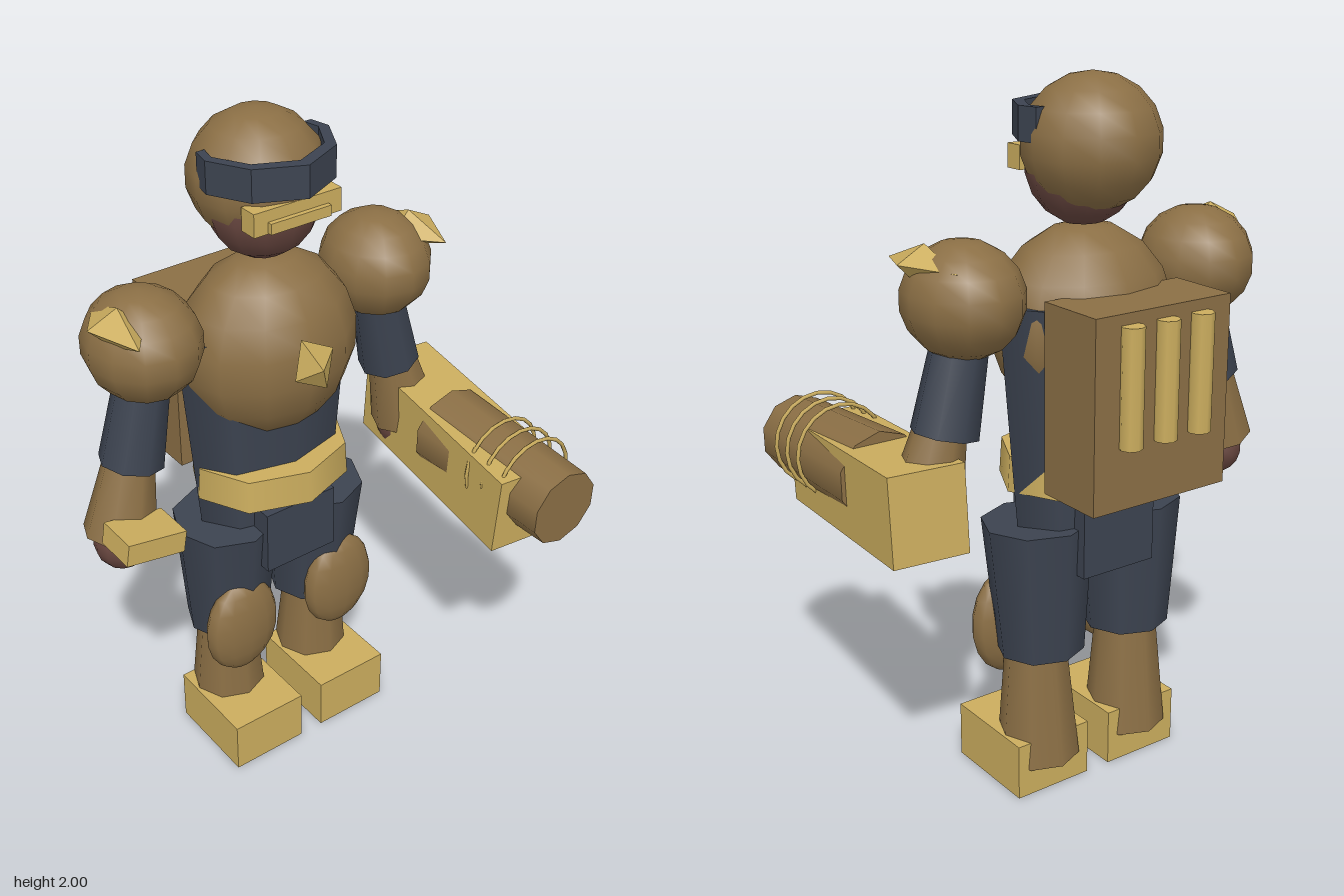
import * as THREE from 'three';

const material = (name, color) => {
  const m = new THREE.MeshStandardMaterial({ color });
  m.name = name;
  return m;
};

export function createModel() {
  const brown = material('bronze armour', 0x8b6f45);
  const gold = material('gold trim', 0xcbad5e);
  const dark = material('dark cloth', 0x3c4350);
  const skin = material('skin', 0x694740);
  const goldFlat = gold;

  // The figure's own middle lies slightly off x = 0 because of the arm cannon
  const root = new THREE.Group();
  root.name = 'armouredFigure';
  const figure = new THREE.Group();
  figure.name = 'figure';
  figure.position.x = -0.025;
  root.add(figure);

  const add = (name, geometry, mat, pos = [0, 0, 0], rot = [0, 0, 0]) => {
    const mesh = new THREE.Mesh(geometry, mat);
    mesh.name = name;
    mesh.position.set(...pos);
    mesh.rotation.set(...rot);
    figure.add(mesh);
    return mesh;
  };
  const box = (name, mat, size, pos, rot) => add(name, new THREE.BoxGeometry(...size), mat, pos, rot);
  const ball = (name, mat, radii, pos) =>
    add(name, new THREE.SphereGeometry(1, 12, 9).scale(...radii), mat, pos);
  const gem = (name, radii, pos, rot) =>
    add(name, new THREE.OctahedronGeometry(1).scale(...radii), goldFlat, pos, rot);
  // Tapered limb running from point a (radius ra) to point b (radius rb)
  const limb = (name, mat, a, b, ra, rb, sides = 8) => {
    const from = new THREE.Vector3(...a), to = new THREE.Vector3(...b);
    const dir = to.clone().sub(from);
    const mesh = add(name, new THREE.CylinderGeometry(rb, ra, dir.length(), sides), mat,
      from.clone().add(to).multiplyScalar(0.5).toArray());
    mesh.quaternion.setFromUnitVectors(new THREE.Vector3(0, 1, 0), dir.normalize());
    return mesh;
  };

  // Torso, chest plate, belt and pelvis
  add('torso', new THREE.CylinderGeometry(0.285, 0.23, 0.62, 8).scale(1, 1, 0.61), dark, [0, 1.11, -0.17]);
  ball('chestPlate', brown, [0.268, 0.272, 0.215], [0, 1.34, -0.15]);
  gem('chestGem', [0.07, 0.1, 0.042], [0, 1.36, 0.066], [0, 0, 0.45]);
  add('belt', new THREE.CylinderGeometry(0.24, 0.247, 0.1, 8).scale(1, 1, 0.83), gold, [0, 0.95, -0.15]);
  box('pelvis', dark, [0.24, 0.2, 0.33], [0, 0.77, -0.16]);

  // Head, helmet, visor and mouth guard
  ball('face', skin, [0.165, 0.17, 0.145], [0, 1.77, -0.155]);
  ball('helmet', brown, [0.19, 0.18, 0.185], [0, 1.82, -0.185]);
  const half = [[0.18, -0.19], [0.193, -0.13], [0.132, -0.017]];
  const outer = [...half, [0, 0.045], ...half.map(([x, z]) => [-x, z]).reverse()];
  const inner = outer.map(([x, z]) => [x * 0.86, -0.19 + (z + 0.19) * 0.84]).reverse();
  const band = new THREE.Shape([...outer, ...inner].map(([x, z]) => new THREE.Vector2(x, z)));
  const bandGeo = new THREE.ExtrudeGeometry(band, { depth: 0.09, bevelEnabled: false });
  add('visorBand', bandGeo, dark, [0, 1.92, 0], [Math.PI / 2, 0, 0]);
  box('mouthGuard', gold, [0.275, 0.065, 0.055], [0, 1.775, -0.03]);
  box('mouthGuardRidge', gold, [0.19, 0.03, 0.03], [0, 1.76, -0.003]);

  // Backpack with three pipes
  box('backpack', brown, [0.44, 0.52, 0.21], [0, 1.19, -0.385]);
  for (const x of [-0.114, 0, 0.114])
    add('backpackPipe', new THREE.CylinderGeometry(0.032, 0.032, 0.32, 8), gold, [x, 1.26, -0.503]);

  // Mirrored limbs
  for (const s of [-1, 1]) {
    const side = s > 0 ? 'left' : 'right';
    box(side + 'Boot', gold, [0.243, 0.165, 0.3], [s * 0.16, 0.0825, -0.095]);
    limb(side + 'Shin', brown, [s * 0.16, 0.08, -0.168], [s * 0.163, 0.46, -0.16], 0.12, 0.085);
    limb(side + 'Thigh', dark, [s * 0.153, 0.415, -0.17], [s * 0.157, 0.8, -0.158], 0.125, 0.157);
    ball(side + 'KneePad', brown, [0.125, 0.163, 0.056], [s * 0.18, 0.463, -0.053]);

    ball(side + 'ShoulderPad', brown, [0.16, 0.155, 0.174], [s * 0.388, 1.457, -0.163]);
    gem(side + 'ShoulderSpike', [0.078, 0.055, 0.14], [s * 0.482, 1.55, -0.125], [0, s * 0.1, s * 0.15]);
    limb(side + 'UpperArm', dark, [s * 0.45, 1.11, -0.16], [s * 0.385, 1.4, -0.16], 0.092, 0.073);
    limb(side + 'Forearm', brown, [s * 0.51, 0.905, -0.145], [s * 0.45, 1.16, -0.155], 0.105, 0.066);
    ball(side + 'Hand', skin, [0.08, 0.085, 0.08], [s * 0.505, 0.875, -0.15]);
  }
  box('rightCuff', gold, [0.18, 0.065, 0.13], [-0.505, 0.962, -0.02], [0, 0, -0.17]);

  // Arm cannon on the left forearm
  box('cannonBody', gold, [0.215, 0.245, 0.69], [0.52, 0.915, 0.09], [0.07, -0.11, 0]);
  limb('cannonBarrel', brown, [0.522, 0.943, 0.045], [0.522, 0.93, 0.535], 0.13, 0.115, 10);
  for (const z of [0.275, 0.34, 0.405])
    add('cannonRing', new THREE.TorusGeometry(0.134, 0.006, 5, 20), gold, [0.521, 0.952, z]);

  return root;
}
